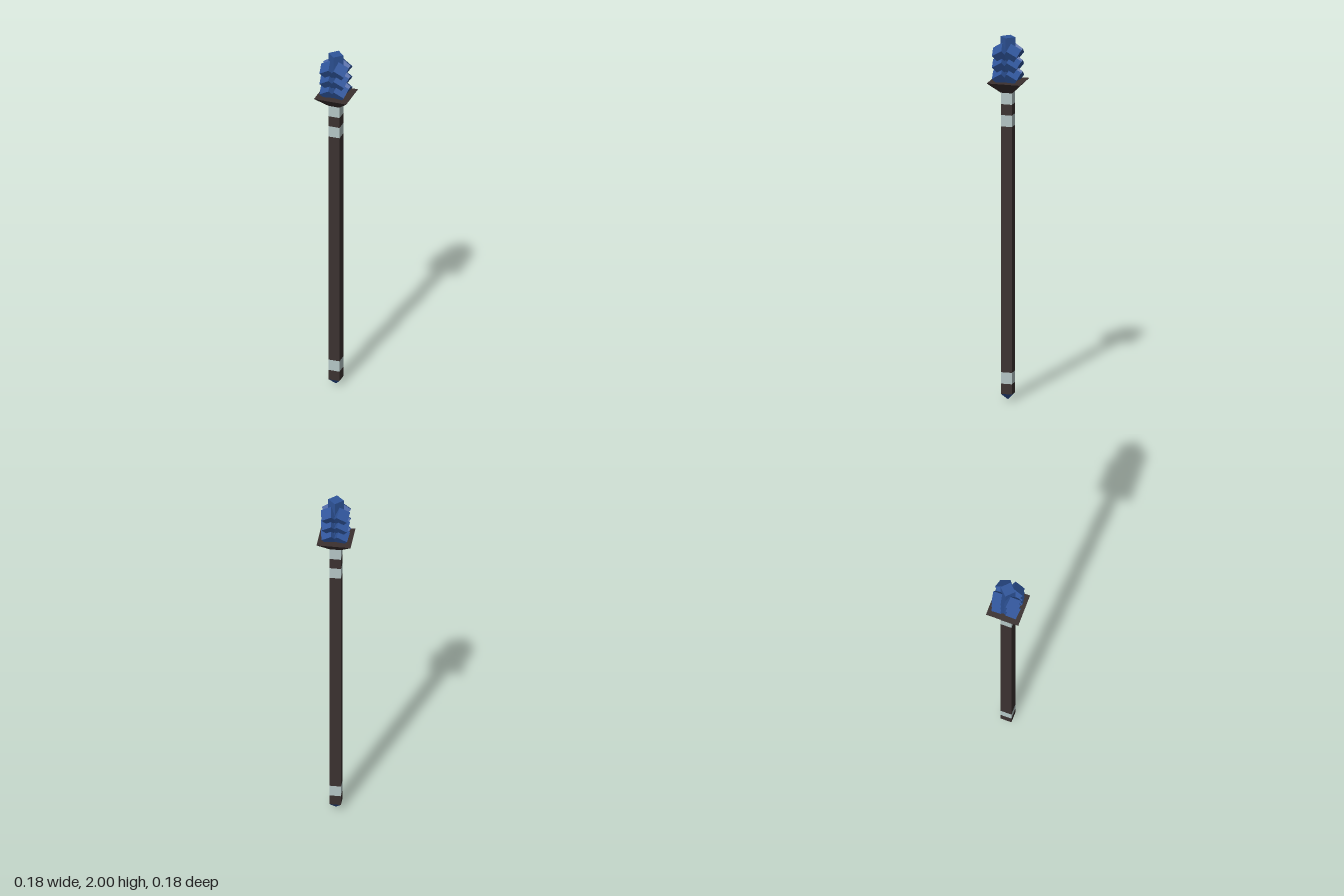
import * as THREE from 'three';

const material = (name, color) => {
  const m = new THREE.MeshStandardMaterial({ color });
  m.name = name;
  return m;
};

// Four-sided prism or frustum with flat faces; radii are to the corners
function squareSection(rBottom, rTop, y0, y1, turn) {
  const g = new THREE.CylinderGeometry(rTop, rBottom, y1 - y0, 4)
    .rotateY(turn)
    .translate(0, (y0 + y1) / 2, 0)
    .toNonIndexed();
  g.computeVertexNormals();
  return g;
}

export function createModel() {
  const group = new THREE.Group();
  const wood = material('darkWood', 0x3b3130);
  const metal = material('paleMetal', 0xb4c5c5);
  const blue = material('blueStone', 0x2f559b);

  const add = (name, geometry, mat, parent = group) => {
    const mesh = new THREE.Mesh(geometry, mat);
    mesh.name = name;
    parent.add(mesh);
    return mesh;
  };

  const corner = 0.031 * Math.SQRT2;
  const turn = Math.PI / 4;

  // Pointed foot
  add('footTip', squareSection(0, corner, 0, 0.035, turn), blue);

  // Shaft sections, alternating wood and metal bands
  const levels = [0.035, 0.092, 0.155, 1.51, 1.573, 1.633, 1.696];
  for (let i = 0; i < levels.length - 1; i++) {
    const isBand = i % 2 === 1;
    add(isBand ? 'shaftBand' : 'shaft',
      squareSection(corner, corner, levels[i], levels[i + 1], turn),
      isBand ? metal : wood);
  }

  // Flared collar under the head
  add('collar', squareSection(corner, 0.092 * Math.SQRT2, 1.696, 1.757, turn), wood);

  // Head core, with its corners on the x and z axes
  const head = new THREE.Group();
  head.name = 'head';
  group.add(head);
  add('headCore', squareSection(0.042, 0.042, 1.757, 2, 0), blue, head);

  // Three rings of four cubes tilted up and outward, each standing on a corner
  const size = 0.064;
  const studGeometry = new THREE.BoxGeometry(size, size, size).translate(0, 0, -size / 2);
  for (const y of [1.81, 1.873, 1.936]) {
    for (let k = 0; k < 4; k++) {
      const angle = Math.PI / 4 + (k * Math.PI) / 2;
      const stud = add('headStud', studGeometry, blue, head);
      stud.position.set(Math.sin(angle) * 0.066, y, Math.cos(angle) * 0.066);
      stud.rotation.set(-Math.PI / 4, angle, Math.PI / 4, 'YXZ');
    }
  }
  return group;
}
